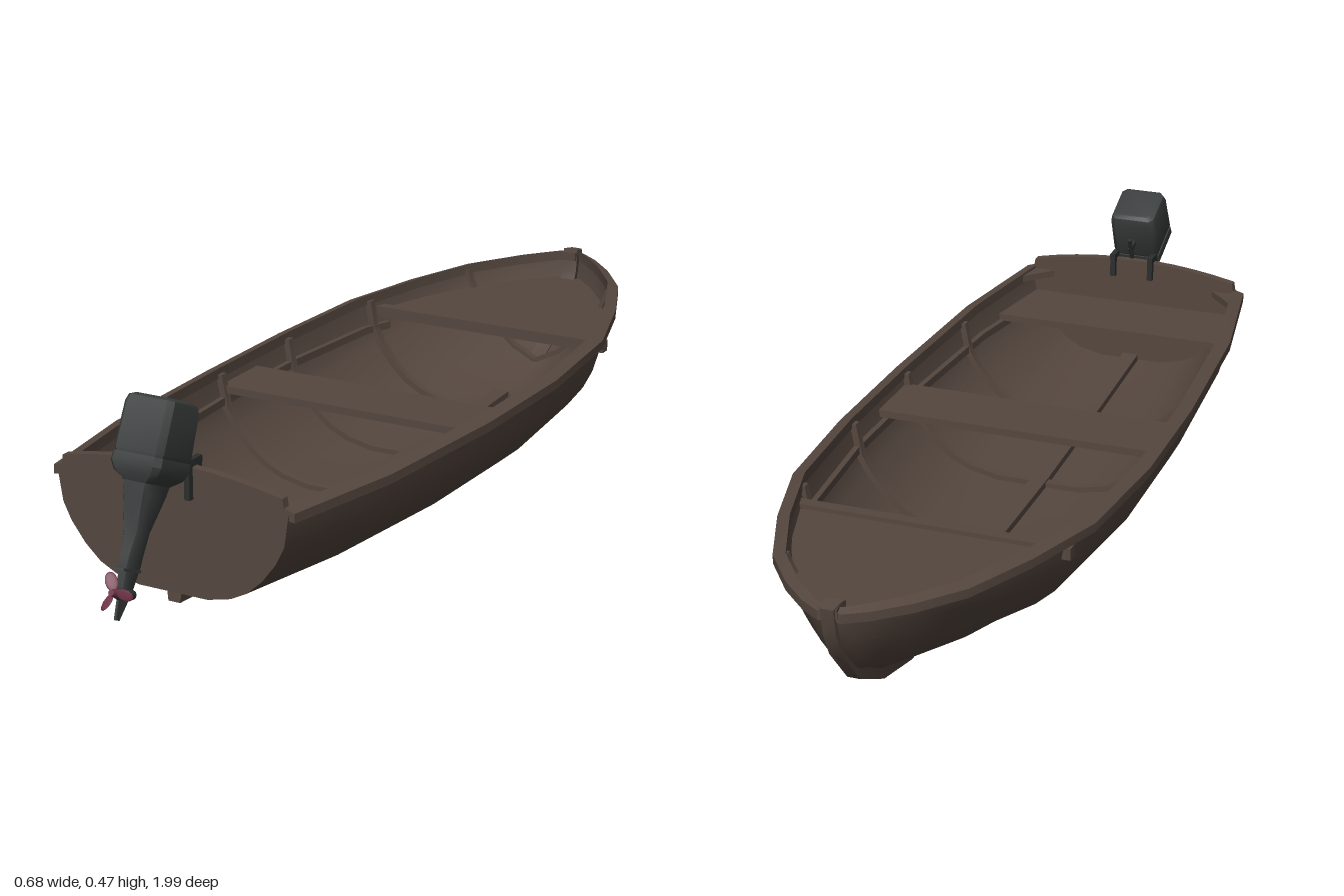
import * as THREE from 'three';
import { toCreasedNormals, mergeVertices } from 'three/addons/utils/BufferGeometryUtils.js';

const paint = (color) => new THREE.MeshStandardMaterial({ color, side: THREE.DoubleSide });

// Hull stations: z, half width, sheer height, bottom height
const STATIONS = [
  [0.78, 0.255, 0.268, 0.066], [0.5, 0.303, 0.262, 0.046], [0.13, 0.325, 0.256, 0.026],
  [-0.17, 0.328, 0.256, 0.022], [-0.45, 0.307, 0.262, 0.024], [-0.645, 0.25, 0.27, 0.032],
  [-0.805, 0.185, 0.276, 0.07], [-0.9, 0.115, 0.28, 0.12], [-0.96, 0.055, 0.283, 0.18],
  [-0.99, 0.012, 0.285, 0.245],
];
const SECTION = [[0, 0], [0.3, 0], [0.5, 0.06], [0.64, 0.15], [0.77, 0.3], [0.89, 0.5], [0.96, 0.68], [1, 1]];
const V = (x, y, z) => new THREE.Vector3(x, y, z);

function station(z) {
  let i = 0;
  while (i < STATIONS.length - 2 && z < STATIONS[i + 1][0]) i++;
  const a = STATIONS[i], b = STATIONS[i + 1];
  const t = (z - a[0]) / (b[0] - a[0]);
  return a.map((v, k) => THREE.MathUtils.lerp(v, b[k], t));
}

// Half cross-section from keel to sheer, turning to a V toward the bow
function halfSection(z, inset = 0) {
  const [, w, top, bot] = station(z);
  const vee = THREE.MathUtils.clamp((-z - 0.4) / 0.5, 0, 0.85);
  const width = Math.max(w - inset, 0.003);
  const low = Math.min(bot + inset, top - 0.01);
  return SECTION.map(([x, y]) =>
    V(x * width, low + (top - low) * THREE.MathUtils.lerp(y, x ** 1.4, vee), z));
}
function fullSection(z, inset) {
  const half = halfSection(z, inset);
  const other = half.slice(1).reverse().map((p) => V(-p.x, p.y, p.z));
  return [...other, ...half];
}
// Inner half width of the hull at height y
function innerWidth(z, y) {
  const s = halfSection(z, 0.01);
  for (let i = 1; i < s.length; i++) {
    if (s[i].y >= y) return THREE.MathUtils.mapLinear(y, s[i - 1].y, s[i].y, s[i - 1].x, s[i].x);
  }
  return s[s.length - 1].x;
}

// Skin through a row of cross-sections; closed ones get end caps
function loft(rings, closed = true, crease = 0.6) {
  const n = rings[0].length, index = [];
  rings.slice(1).forEach((_, r) => {
    for (let j = 0; j < (closed ? n : n - 1); j++) {
      const a = r * n + j, b = r * n + ((j + 1) % n);
      index.push(a, b, a + n, b, b + n, a + n);
    }
  });
  if (closed) {
    const e = (rings.length - 1) * n;
    for (let j = 1; j < n - 1; j++) index.push(0, j + 1, j, e, e + j, e + j + 1);
  }
  const g = new THREE.BufferGeometry().setFromPoints(rings.flat());
  g.setIndex(index);
  if (crease) return toCreasedNormals(g, crease);
  g.computeVertexNormals();
  return g;
}

export function createModel() {
  const boat = new THREE.Group();
  boat.name = 'motorBoat';
  const wood = paint(0x55473f), dark = paint(0x3b3e3e), steel = paint(0x2c2e2e), red = paint(0x74384c);
  const add = (name, geometry, material = wood, parent = boat) => {
    const m = new THREE.Mesh(geometry, material);
    m.name = name;
    parent.add(m);
    return m;
  };
  const box = (name, size, pos, material, parent) => {
    const m = add(name, new THREE.BoxGeometry(...size), material, parent);
    m.position.set(...pos);
    return m;
  };
  const zs = STATIONS.map((s) => s[0]);

  // Outer and inner skins
  add('hullOuter', loft(zs.map((z) => fullSection(z, 0)), false, 0));
  add('hullInner', loft(zs.map((z) => fullSection(z, 0.011)), false, 0));

  // Gunwales and seat risers
  for (const s of [1, -1]) {
    add('gunwale', loft(zs.map((z) => {
      const [, w, y] = station(z);
      const i = s * Math.max(w - 0.016, 0), o = s * (w + 0.011);
      return [V(i, y - 0.01, z), V(o, y - 0.014, z), V(o, y + 0.005, z), V(i, y + 0.013, z)];
    })));
    add('seatRiser', loft([0.76, 0.5, 0.13, -0.17, -0.45, -0.52].map((z) => {
      const o = s * innerWidth(z, 0.2), i = o - s * 0.012;
      return [V(i, 0.19, z), V(o, 0.19, z), V(o, 0.207, z), V(i, 0.207, z)];
    })));
    // Knee between gunwale and transom
    const knee = new THREE.Shape([[0.25, 0.77], [0.19, 0.77], [0.257, 0.7]].map(([x, z]) => new THREE.Vector2(s * x, z)));
    const kg = new THREE.ExtrudeGeometry(knee, { depth: 0.015, bevelEnabled: false });
    add('sternKnee', kg.rotateX(Math.PI / 2).translate(0, 0.274, 0));
  }

  // Keel sweeping up into the stem
  const spine = [[0.78, 0.045], [0.5, 0.025], [0.13, 0.003], [-0.17, 0], [-0.45, 0], [-0.645, 0.012],
    [-0.78, 0.043], [-0.89, 0.102], [-0.965, 0.19], [-0.99, 0.245], [-0.998, 0.3]];
  add('keel', loft(spine.map(([z, y], i) => {
    const a = spine[Math.max(i - 1, 0)], b = spine[Math.min(i + 1, spine.length - 1)];
    const dz = b[0] - a[0], dy = b[1] - a[1], k = 0.034 / Math.hypot(dz, dy);
    const zi = z + dy * k, yi = y - dz * k;
    return [V(-0.013, y, z), V(0.013, y, z), V(0.018, yi, zi), V(-0.018, yi, zi)];
  })));
  box('stemHead', [0.034, 0.02, 0.04], [0, 0.29, -0.972]);

  // Keelson along the floor
  add('keelson', loft([0.76, 0.5, 0.13, -0.17, -0.45, -0.6].map((z) => {
    const y = station(z)[3];
    return [V(-0.018, y, z), V(0.018, y, z), V(0.018, y + 0.026, z), V(-0.018, y + 0.026, z)];
  })));

  // Ribs
  for (const z of [0.42, 0.12, -0.16, -0.48, -0.78]) {
    const path = fullSection(z, 0.009), top = station(z)[2];
    add('rib', loft(path.map((p) => {
      const x = p.x * 0.95, y = p.y + 0.015 * (1 - p.y / top);
      return [V(p.x, p.y, z - 0.009), V(p.x, p.y, z + 0.009), V(x, y, z + 0.009), V(x, y, z - 0.009)];
    })));
  }

  // Seats cut to the hull's inner width
  const seat = (name, z0, z1, y) => {
    const right = [], left = [];
    for (let i = 0; i <= 8; i++) {
      const z = THREE.MathUtils.lerp(z0, z1, i / 8), w = innerWidth(z, y);
      right.push(new THREE.Vector2(w, z));
      left.unshift(new THREE.Vector2(-w, z));
    }
    const g = new THREE.ExtrudeGeometry(new THREE.Shape([...right, ...left]), { depth: 0.016, bevelEnabled: false });
    add(name, g.rotateX(Math.PI / 2).translate(0, y, 0));
  };
  seat('sternSeat', 0.59, 0.77, 0.22);
  seat('middleSeat', -0.03, 0.12, 0.23);
  seat('bowSeat', -0.96, -0.52, 0.235);
  box('bowSeatBeam', [0.59, 0.025, 0.025], [0, 0.232, -0.515]);

  // Transom with arched top board
  const tr = new THREE.Shape(fullSection(0.78, 0).map((p) => new THREE.Vector2(p.x, p.y)));
  tr.lineTo(0.245, 0.28);
  tr.lineTo(0.242, 0.298);
  tr.quadraticCurveTo(0, 0.352, -0.242, 0.298);
  tr.lineTo(-0.245, 0.28);
  add('transom', new THREE.ExtrudeGeometry(tr, { depth: 0.018, bevelEnabled: false, curveSegments: 10 }).translate(0, 0, 0.765));

  // Outboard motor, tilted back
  for (const x of [-0.045, 0.045]) {
    box('clampOuter', [0.012, 0.075, 0.012], [x, 0.3, 0.79], steel);
    box('clampInner', [0.012, 0.05, 0.012], [x, 0.31, 0.758], steel);
    box('clampTop', [0.012, 0.014, 0.075], [x, 0.333, 0.788], steel);
  }
  box('clampBar', [0.1, 0.02, 0.04], [0, 0.33, 0.81], steel);
  const motor = new THREE.Group();
  motor.name = 'outboardMotor';
  motor.position.set(0, 0.32, 0.855);
  motor.rotation.x = -0.42;
  boat.add(motor);

  // Engine cowl from rounded rectangles
  const ring = (w, d, y, zc = 0) => [[-1, -0.8], [-0.8, -1], [0.8, -1], [1, -0.8], [1, 0.8], [0.8, 1], [-0.8, 1], [-1, 0.8]]
    .map(([x, z]) => V(x * w, y, z * d + zc));
  add('cowl', loft([ring(0.05, 0.058, 0.036), ring(0.054, 0.06, 0.045), ring(0.053, 0.056, 0.13),
    ring(0.05, 0.051, 0.143), ring(0.04, 0.042, 0.148)], true, 0.5), dark, motor);
  add('cowlBase', loft([ring(0.028, 0.042, -0.012), ring(0.048, 0.056, 0.004), ring(0.055, 0.062, 0.02),
    ring(0.054, 0.061, 0.038)], true, 0.5), dark, motor);

  // Drive leg, gear case and skeg
  add('driveLeg', loft([ring(0.03, 0.044, 0), ring(0.027, 0.04, -0.03), ring(0.017, 0.022, -0.1),
    ring(0.012, 0.024, -0.145), ring(0.011, 0.024, -0.165), ring(0.008, 0.016, -0.215)], true, 0.7), dark, motor);
  box('splashPlate', [0.024, 0.005, 0.06], [0, -0.172, 0.006], dark, motor);
  const profile = [[0, -0.04], [0.009, -0.03], [0.013, -0.008], [0.012, 0.018], [0.008, 0.03]];
  const gear = new THREE.LatheGeometry(profile.map(([r, y]) => new THREE.Vector2(r, y)), 10).rotateX(Math.PI / 2);
  add('gearCase', gear, dark, motor).position.y = -0.217;
  const fin = new THREE.Shape([[-0.02, -0.22], [0.018, -0.22], [0.012, -0.266], [0, -0.266]].map((p) => new THREE.Vector2(-p[0], p[1])));
  add('skeg', new THREE.ExtrudeGeometry(fin, { depth: 0.005, bevelEnabled: false })
    .translate(0, 0, -0.0025).rotateY(Math.PI / 2), dark, motor);

  // Three-bladed propeller
  const prop = new THREE.Group();
  prop.name = 'propeller';
  prop.position.set(0, -0.217, 0.032);
  motor.add(prop);
  add('hub', new THREE.CylinderGeometry(0.006, 0.01, 0.024, 10).rotateX(Math.PI / 2), red, prop);
  for (let i = 0; i < 3; i++) {
    const arm = new THREE.Group();
    arm.rotation.z = (i * Math.PI * 2) / 3;
    prop.add(arm);
    const blade = add('blade', new THREE.SphereGeometry(1, 10, 6), red, arm);
    blade.scale.set(0.019, 0.012, 0.002);
    blade.position.x = 0.022;
    blade.rotation.x = 0.5;
  }

  // Tiller handle
  box('tillerArm', [0.01, 0.01, 0.035], [0, 0.08, -0.072], steel, motor);
  const grip = new THREE.CylinderGeometry(0.005, 0.005, 0.055, 8);
  add('tillerGrip', grip, steel, motor).position.set(-0.004, 0.09, -0.09);
  return boat;
}
